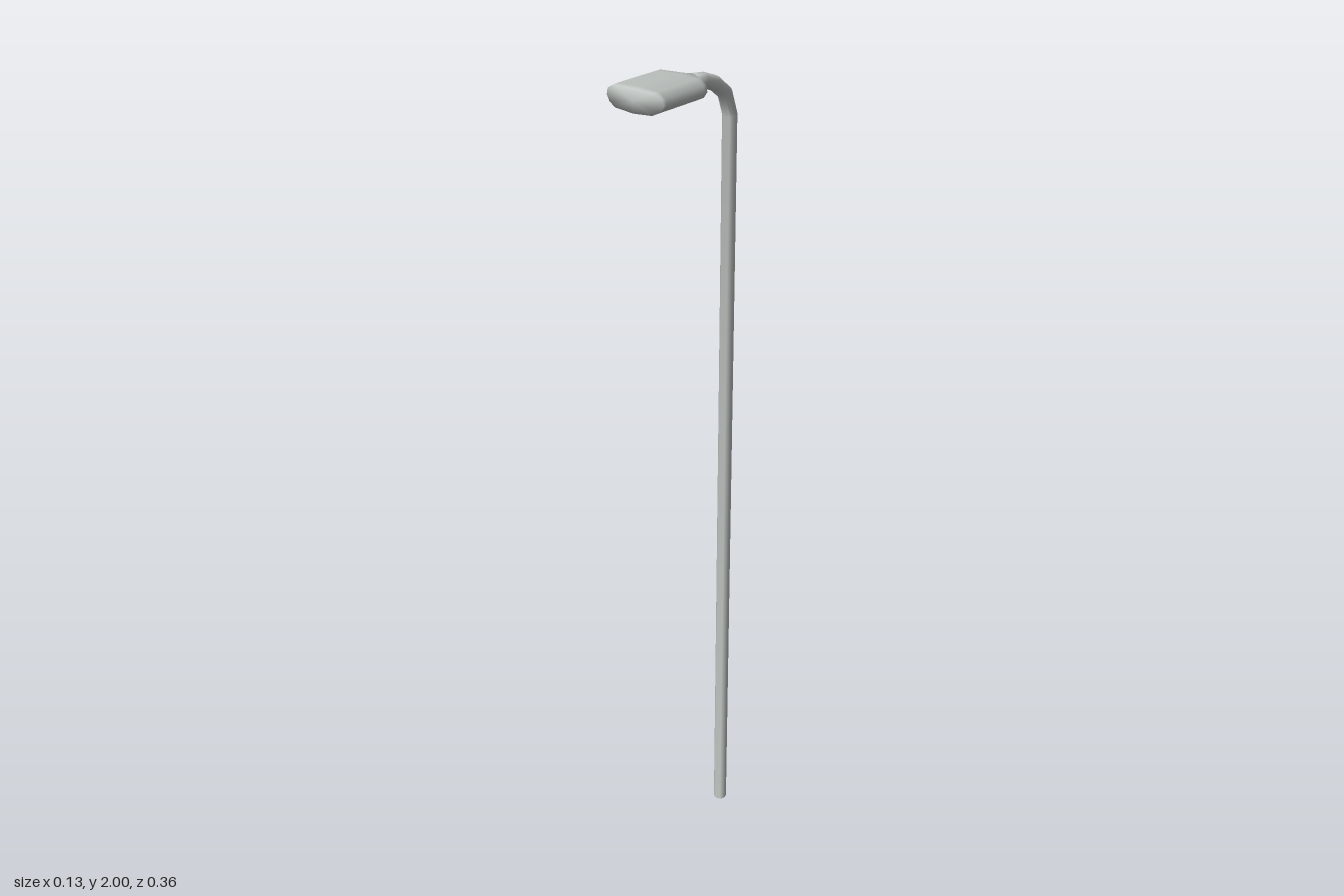
import * as THREE from 'three';
import { toCreasedNormals } from 'three/addons/utils/BufferGeometryUtils.js';

const SIDES = 12;
const POLE_RADIUS = 0.0155;

// Places a cross-section at (y, z), tilted by angle a from vertical toward +z
function ring(section, y, z, a) {
  return section.map(([x, v]) => [x, y + v * Math.sin(a), z - v * Math.cos(a)]);
}

// Skins a list of rings and closes the last one with a fan around its middle;
// faces picked by isLens get the second material
function loft(rings, isLens = () => false) {
  const plain = [], lens = [];
  for (let i = 0; i < rings.length - 1; i++) {
    for (let j = 0; j < SIDES; j++) {
      const k = (j + 1) % SIDES;
      const [a, b, c, d] = [rings[i][j], rings[i][k], rings[i + 1][j], rings[i + 1][k]];
      (isLens(i, j) ? lens : plain).push(...a, ...b, ...c, ...b, ...d, ...c);
    }
  }
  const last = rings[rings.length - 1];
  const middle = [0, 1, 2].map((n) => (last[3][n] + last[9][n]) / 2);
  for (let j = 0; j < SIDES; j++) plain.push(...middle, ...last[j], ...last[(j + 1) % SIDES]);

  const geometry = new THREE.BufferGeometry();
  geometry.setAttribute('position', new THREE.Float32BufferAttribute([...plain, ...lens], 3));
  geometry.addGroup(0, plain.length / 3, 0);
  geometry.addGroup(plain.length / 3, lens.length / 3, 1);
  return toCreasedNormals(geometry, 1.9);
}

export function createModel() {
  const metal = new THREE.MeshStandardMaterial({ color: 0xc0c6c3 });
  metal.name = 'grey metal';
  const amber = new THREE.MeshStandardMaterial({ color: 0xd09a48 });
  amber.name = 'amber lens';

  const group = new THREE.Group();
  group.name = 'streetLamp';

  const circle = Array.from({ length: SIDES }, (_, j) => {
    const t = (j / SIDES) * Math.PI * 2;
    return [POLE_RADIUS * Math.cos(t), POLE_RADIUS * Math.sin(t)];
  });

  // Pole and curved arm, open at the foot: y, z, tilt
  const path = [
    [0, -0.167, 0], [1.84, -0.167, 0.18], [1.89, -0.147, 0.63],
    [1.922, -0.107, 1.03], [1.943, -0.06, 1.26], [1.953, -0.018, 1.42],
  ];
  const pole = new THREE.Mesh(loft(path.map((p) => ring(circle, ...p))), metal);
  pole.name = 'poleAndArm';
  group.add(pole);

  // Lamp head: rounded flat section, flaring from the arm
  const right = [[0.045, 0.022], [0.06, 0.012], [0.063, -0.001], [0.056, -0.013], [0.041, -0.021]];
  const mirror = ([x, v]) => [-x, v];
  const section = [
    right[2], right[1], right[0], [0, 0.024], mirror(right[0]), mirror(right[1]),
    mirror(right[2]), mirror(right[3]), mirror(right[4]), [0, -0.024], right[4], right[3],
  ];
  const tilt = 1.45;
  const front = ring(section, 1.976, 0.173, Math.PI / 2)
    .map(([x, y, z]) => [x, y, z + 0.007 * Math.min(1, (0.063 - Math.abs(x)) / 0.03)]);
  const headRings = [
    ring(circle, 1.952, -0.022, tilt),
    ring(section, 1.957, 0.022, tilt),
    ring(section, 1.9583, 0.032, tilt),
    ring(section, 1.9748, 0.164, tilt),
    front,
  ];
  // The lens is the flat strip under the head, set in from both ends
  const head = new THREE.Mesh(
    loft(headRings, (i, j) => i === 2 && (j === 8 || j === 9)), [metal, amber]);
  head.name = 'lampHead';
  group.add(head);

  return group;
}
